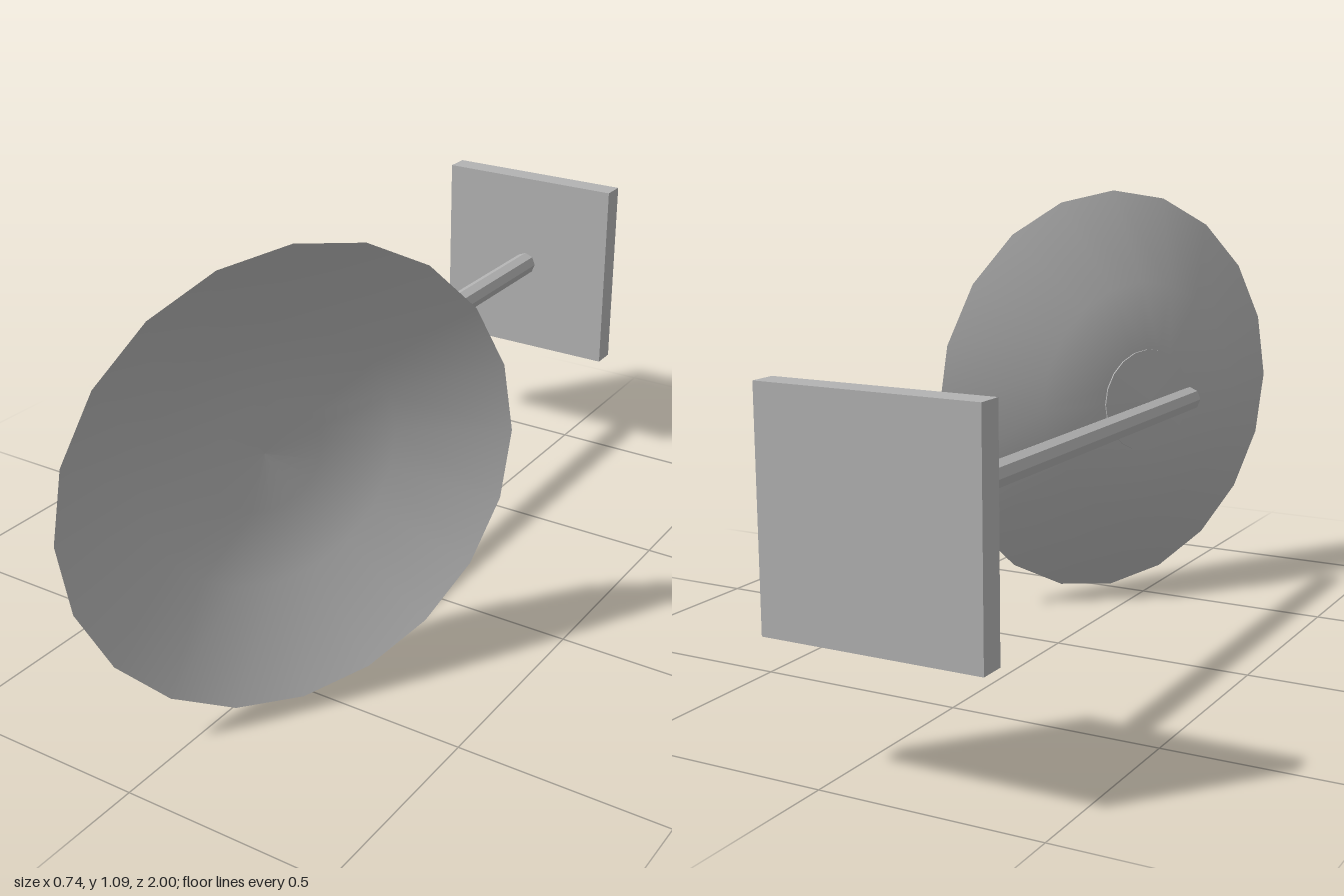
import * as THREE from 'three';

export function createModel() {
  const model = new THREE.Group();
  const grey = new THREE.MeshStandardMaterial({ color: 0xb2b2b2, side: THREE.DoubleSide });
  grey.name = 'paintedGrey';
  const greyFlat = grey.clone();
  greyFlat.flatShading = true;

  const add = (parent, name, geometry, material, x = 0, y = 0, z = 0) => {
    const mesh = new THREE.Mesh(geometry, material);
    mesh.name = name;
    mesh.position.set(x, y, z);
    parent.add(mesh);
    return mesh;
  };

  // Turned shell of [radius, depth] points, opening toward +z
  const shell = (points) =>
    new THREE.LatheGeometry(points.map(([r, d]) => new THREE.Vector2(r, -d)), 20).rotateX(Math.PI / 2);

  // Square wall plate at the back
  add(model, 'wallPlate', new THREE.BoxGeometry(0.5, 0.505, 0.06), greyFlat, -0.125, 0.545, -0.97);

  // Straight arm reaching forward from the plate
  const arm = new THREE.CylinderGeometry(0.031, 0.031, 1.455, 8).rotateX(Math.PI / 2);
  add(model, 'arm', arm, greyFlat, -0.125, 0.545, -0.2175);

  // Shallow dish, turned toward the model's left
  const dish = new THREE.Group();
  dish.name = 'dish';
  dish.position.set(0.11, 0.5425, 0.525);
  dish.rotation.y = Math.atan2(0.881, 0.473);
  model.add(dish);
  add(dish, 'bowl', shell([[0, 0.168], [0.135, 0.155], [0.31, 0.127], [0.5425, 0]]), grey);

  // Thin round pad on the back of the bowl
  add(dish, 'backPad', shell([[0, 0.172], [0.135, 0.159], [0.135, 0.155]]), greyFlat);

  return model;
}
